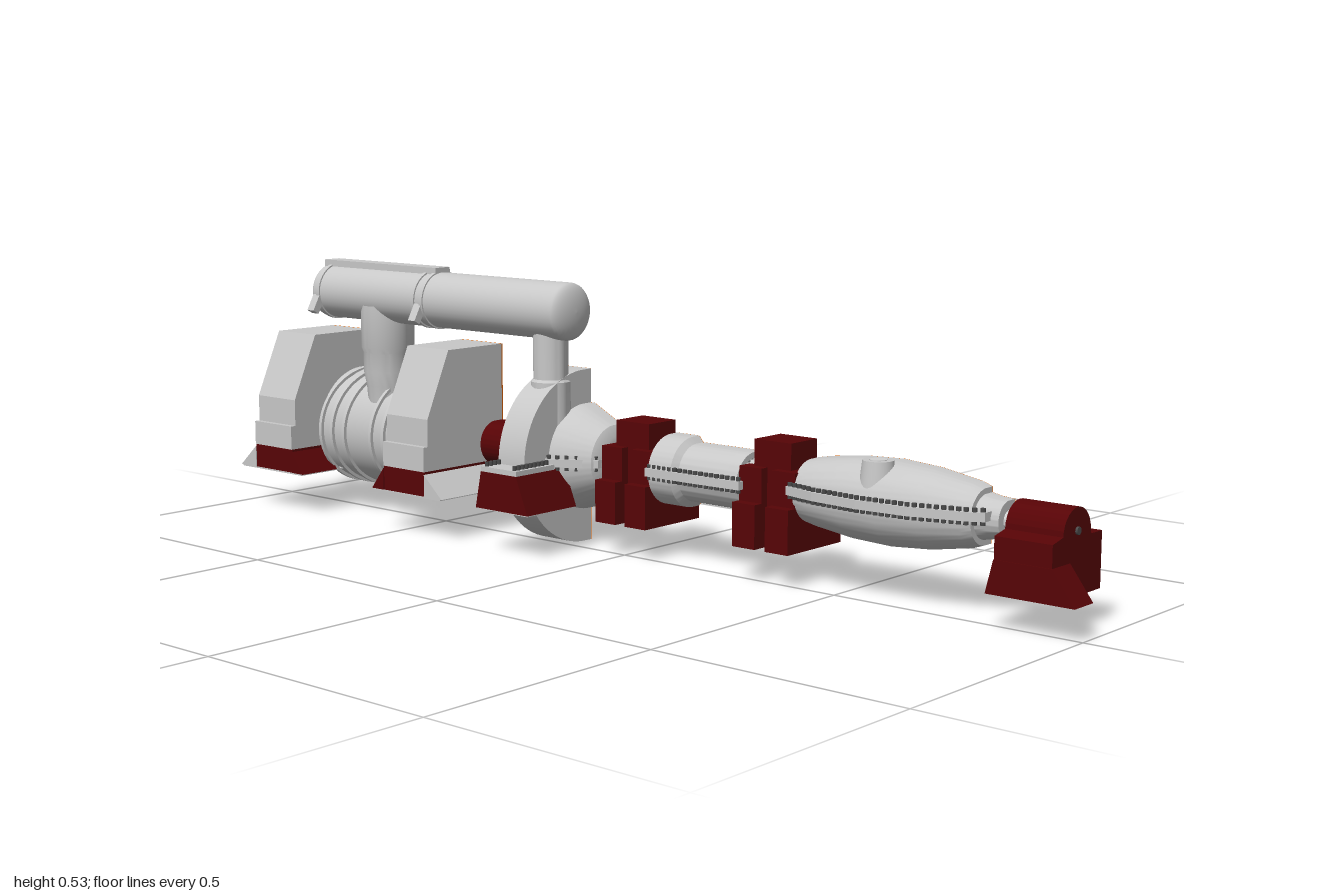
import * as THREE from 'three';
import { mergeGeometries, toCreasedNormals } from 'three/addons/utils/BufferGeometryUtils.js';

const AY = 0.177, AZ = -0.05, CUT = -0.068; // shaft axis and section plane

export function createModel() {
  const model = new THREE.Group();
  const mat = (name, color) => {
    const m = new THREE.MeshStandardMaterial({ color, side: THREE.DoubleSide });
    m.name = name;
    return m;
  };
  const grey = mat('casing grey', 0xc8c8c8);
  const red = mat('bearing red', 0x570406);
  const dark = mat('blade grey', 0x4c4c4c);
  const steel = mat('shaft steel', 0xd2d2d2);
  const orange = mat('section orange', 0xe06404);

  const add = (name, geo, material, parent = model) => {
    const mesh = new THREE.Mesh(geo, material);
    mesh.name = name;
    parent.add(mesh);
    return mesh;
  };
  const group = (name) => {
    const g = new THREE.Group();
    g.name = name;
    model.add(g);
    return g;
  };
  const boxGeo = (x0, x1, y0, y1, z0, z1) => new THREE.BoxGeometry(x1 - x0, y1 - y0, z1 - z0)
    .translate((x0 + x1) / 2, (y0 + y1) / 2, (z0 + z1) / 2);
  const shapeOf = (pts) => new THREE.Shape(pts.map(([a, b]) => new THREE.Vector2(a, b)));
  // (z, y) outline extruded along x
  const prism = (x0, x1, pts) => new THREE.ExtrudeGeometry(shapeOf(pts), { depth: x1 - x0, bevelEnabled: false })
    .rotateY(-Math.PI / 2).translate(x1, 0, 0);
  // (x, y) outline extruded along z
  const slab = (z0, z1, pts) => new THREE.ExtrudeGeometry(shapeOf(pts), { depth: z1 - z0, bevelEnabled: false })
    .translate(0, 0, z0);
  // (x, radius) profile turned about the shaft axis
  const turned = (pts, start = 0, sweep = Math.PI * 2, segs = 40) => new THREE.LatheGeometry(
    pts.map(([x, r]) => new THREE.Vector2(r, x)), segs, start, sweep).rotateZ(-Math.PI / 2);

  // Half casing: closed wall profile swept through 180 degrees, reaching back to the section plane
  const casing = (name, outer, bore, material = grey) => {
    const g = group(name);
    const inner = (Array.isArray(bore) ? [...bore] : outer.map(([x, r]) => [x, r - bore])).reverse();
    const geo = turned([...outer, ...inner, outer[0]], -Math.PI / 2, Math.PI);
    const p = geo.attributes.position;
    for (let i = 0; i < p.count; i++) if (Math.abs(p.getZ(i)) < 1e-6) p.setZ(i, CUT - AZ);
    geo.translate(0, AY, AZ);
    add('shell', toCreasedNormals(geo, 0.5), material, g);
    for (const s of [1, -1]) {
      const face = new THREE.ShapeGeometry(shapeOf([...outer, ...inner].map(([x, r]) => [x, AY + s * r])));
      add('cutFace', face.translate(0, 0, CUT - 0.001), orange, g);
    }
    return g;
  };
  // Horizontal joint flange with bolts that follows a casing outline
  const flange = (parent, pts, y, bolts) => {
    const out = [[pts[0][0], AZ], ...pts.map(([x, r]) => [x, AZ + r]), [pts.at(-1)[0], AZ]];
    add('jointFlange', new THREE.ExtrudeGeometry(shapeOf(out), { depth: 0.016, bevelEnabled: false })
      .rotateX(Math.PI / 2).translate(0, y, 0), grey, parent);
    const parts = [], x0 = pts[0][0], x1 = pts.at(-1)[0];
    for (let i = 0; i < bolts; i++) {
      const x = x0 + (x1 - x0) * (i + 0.5) / bolts;
      const k = pts.findIndex(([px]) => px >= x), [ax, ar] = pts[k - 1], [bx, br] = pts[k];
      const r = ar + (br - ar) * (x - ax) / (bx - ax) - 0.007;
      parts.push(new THREE.CylinderGeometry(0.0045, 0.0045, 0.03, 6).translate(x, y - 0.008, AZ + r));
    }
    add('jointBolts', mergeGeometries(parts), dark, parent);
  };
  // Rotor blade rows: [x, root radius, tip radius]
  const blades = (name, rows, count, width) => {
    const parts = [];
    for (const [x, r0, r1] of rows) {
      for (let i = 0; i < count; i++) parts.push(new THREE.BoxGeometry(width, r1 - r0, 0.0055)
        .rotateY(0.35).translate(x, (r0 + r1) / 2, 0).rotateX(i / count * Math.PI * 2));
      parts.push(new THREE.CylinderGeometry(r0 + 0.002, r0 + 0.002, width * 1.3, 32).rotateZ(Math.PI / 2).translate(x, 0, 0));
    }
    add(name, mergeGeometries(parts).translate(0, AY, AZ), dark);
  };
  const rows = (x0, x1, n, root, tip) => Array.from({ length: n }, (_, i) => {
    const x = x0 + (x1 - x0) * i / (n - 1);
    return [x, root, tip(x)];
  });

  // Shaft
  add('shaft', toCreasedNormals(turned([[-1, 0], [-1, 0.02], [-0.93, 0.02], [-0.88, 0.028], [-0.8, 0.045], [-0.54, 0.045],
    [-0.47, 0.03], [-0.4, 0.021], [-0.32, 0.021], [-0.3, 0.03], [-0.06, 0.03], [-0.05, 0.018], [0.06, 0.018],
    [0.07, 0.026], [0.29, 0.026], [0.3, 0.018], [0.42, 0.018], [0.44, 0.027], [0.78, 0.027], [0.8, 0.018],
    [0.95, 0.016], [0.95, 0]]).translate(0, AY, AZ), 0.5), steel);

  // Blade rows
  const stages = [[0.115, 0.06, 0.118], [0.08, 0.07, 0.105], [0.042, 0.065, 0.094]];
  const lpRows = [1, -1].flatMap((s) => stages.map(([d, a, b]) => [-0.67 + s * d, a, b]));
  blades('lowPressureBlades', lpRows, 44, 0.008);
  add('lowPressureDrum', new THREE.CylinderGeometry(0.058, 0.058, 0.23, 36).rotateZ(Math.PI / 2).translate(-0.67, AY, AZ), dark);
  blades('middleBlades', rows(-0.29, -0.08, 9, 0.036, (x) => 0.066 - Math.abs(x + 0.185) * 0.17), 30, 0.009);
  blades('firstHighPressureBlades', rows(0.09, 0.28, 9, 0.03, () => 0.045), 26, 0.009);
  const barrelTip = (x) => 0.05 - Math.abs(x - 0.6) * 0.07;
  blades('secondHighPressureBlades', [...rows(0.455, 0.56, 6, 0.028, barrelTip), ...rows(0.64, 0.76, 6, 0.028, barrelTip)], 26, 0.008);

  // Low pressure casing with ribs
  const lp = casing('lowPressureCasing', [[-0.81, 0.123], [-0.52, 0.123]], 0.011);
  for (const [x] of lpRows) {
    add('rib', toCreasedNormals(turned([[x - 0.004, 0.12], [x - 0.004, 0.126], [x + 0.004, 0.126], [x + 0.004, 0.12]],
      -Math.PI / 2, Math.PI).scale(1, 1, 1.16).translate(0, AY, AZ), 0.5), grey, lp);
  }

  // Exhaust hoods, one on each side of the low pressure casing
  const hood = [[CUT, 0.14], [CUT, 0.38], [0.083, 0.38], [0.143, 0.245], [0.143, 0.14]];
  for (const [x0, x1, s] of [[-0.93, -0.81, -1], [-0.52, -0.4, 1]]) {
    const g = group('exhaustHood');
    add('hoodBody', prism(x0, x1, hood), grey, g);
    add('hoodCutFace', boxGeo(x0, x1, 0.09, 0.38, CUT - 0.003, CUT), orange, g);
    add('hoodBase', boxGeo(x0, x1, 0.09, 0.14, CUT, 0.153), red, g);
    add('hoodLedge', boxGeo(x0, x1, 0.14, 0.19, 0.1, 0.155), grey, g);
    const xo = s < 0 ? x0 : x1, xi = s < 0 ? x1 : x0;
    add('outerSkirt', slab(CUT, 0.155, [[xo, 0.135], [xo + s * 0.05, 0.09], [xo, 0.09]]), grey, g);
    add('skirtCutFace', slab(CUT - 0.003, CUT, [[xo, 0.135], [xo + s * 0.05, 0.09], [xo, 0.09]]), orange, g);
    add('innerSkirt', slab(0.06, 0.155, [[xi, 0.135], [xi - s * 0.035, 0.09], [xi, 0.09]]), red, g);
    add('basePlate', boxGeo(x0 - (s < 0 ? 0.045 : 0.03), x1 + (s < 0 ? 0.03 : 0.045), 0.087, 0.09, CUT, 0.154), grey, g);
  }
  add('floorPlate', boxGeo(-0.94, -0.82, 0.09, 0.1, -0.137, CUT), grey);

  // Outer pedestal at the low pressure end
  const wedge = [[-0.935, 0.063], [-0.998, 0.063], [-0.94, 0.13], [-0.935, 0.13]];
  add('outerPedestal', prism(-0.97, -0.94, [[-0.137, 0.09], [-0.137, 0.15], [-0.085, 0.2], [-0.015, 0.2], [0.01, 0.15], [0.01, 0.09]]), red);
  add('pedestalStep', slab(-0.137, -0.03, wedge), red);
  add('pedestalWedge', slab(-0.03, 0.027, wedge), grey);

  // Shaft coupling cover
  casing('couplingCover', [[-0.4, 0.045], [-0.325, 0.045]], 0.016, red);

  // Middle casing with deep annular inlet
  const ip = casing('middleCasing', [[-0.31, 0.06], [-0.3, 0.075], [-0.225, 0.105], [-0.22, 0.105], [-0.22, 0.173],
    [-0.15, 0.173], [-0.15, 0.105], [-0.14, 0.105], [-0.07, 0.07], [-0.06, 0.05]],
  [[-0.31, 0.045], [-0.295, 0.058], [-0.225, 0.086], [-0.208, 0.086], [-0.208, 0.161], [-0.162, 0.161],
    [-0.162, 0.086], [-0.14, 0.086], [-0.075, 0.054], [-0.06, 0.036]]);
  flange(ip, [[-0.31, 0.068], [-0.23, 0.115], [-0.14, 0.115], [-0.06, 0.06]], 0.185, 16);
  const foot = group('middleFoot');
  add('footBlock', slab(0.03, 0.167, [[-0.24, 0.092], [-0.1, 0.092], [-0.13, 0.165], [-0.225, 0.165]]), red, foot);
  add('footSole', boxGeo(-0.235, -0.105, 0.089, 0.092, 0.035, 0.162), grey, foot);
  add('footPlate', boxGeo(-0.225, -0.13, 0.165, 0.175, 0.06, 0.166), grey, foot);
  for (let i = 0; i < 9; i++) for (const x of [-0.215, -0.14]) {
    add('footBolt', new THREE.CylinderGeometry(0.004, 0.004, 0.02, 6).translate(x, 0.174, 0.072 + i * 0.011), dark, foot);
  }

  // Crossover pipe with domed ends
  const pipes = group('crossoverPipe');
  const pz = 0.01;
  const upright = (name, x, pts) => add(name, toCreasedNormals(new THREE.LatheGeometry(
    pts.map(([r, y]) => new THREE.Vector2(r, y)), 36).translate(x, 0, pz), 0.5), grey, pipes);
  const dome = Array.from({ length: 9 }, (_, i) => [0.057 * Math.sin(i * Math.PI / 16), 0.022 * Math.cos(i * Math.PI / 16)]);
  const pipeLine = [...dome.map(([r, d]) => [r, -0.83 - d]), ...dome.map(([r, d]) => [r, -0.137 + d]).reverse()];
  add('mainPipe', new THREE.LatheGeometry(pipeLine.map(([r, x]) => new THREE.Vector2(r, x)), 40)
    .rotateZ(-Math.PI / 2).translate(0, 0.47, pz), grey, pipes);
  for (const x of [-0.815, -0.52, -0.495]) {
    add('pipeBand', new THREE.CylinderGeometry(0.06, 0.06, 0.009, 40).rotateZ(Math.PI / 2).translate(x, 0.47, pz), grey, pipes);
  }
  add('topStrip', boxGeo(-0.835, -0.49, 0.515, 0.537, -0.01, 0.03), grey, pipes);
  for (const x of [-0.82, -0.505]) {
    add('pipeLug', new THREE.BoxGeometry(0.02, 0.038, 0.016).rotateX(-0.5).translate(x, 0.445, pz + 0.06), grey, pipes);
    add('pipeStud', new THREE.BoxGeometry(0.02, 0.012, 0.014).rotateX(0.5).translate(x, 0.445, pz - 0.054), grey, pipes);
  }
  upright('lowPressureRiser', -0.66, [[0.042, 0.23], [0.046, 0.28], [0.052, 0.31], [0.052, 0.35], [0.056, 0.36], [0.056, 0.45]]);
  upright('middleRiser', -0.185, [[0.04, 0.2], [0.04, 0.33], [0.035, 0.335], [0.035, 0.45]]);

  // Bearing blocks between casings
  for (const x of [0.01, 0.35]) {
    const g = group('bearingBlock');
    for (const s of [1, -1]) {
      const a = x + s * 0.012, b = x + s * 0.064;
      add('bearingSide', boxGeo(Math.min(a, b), Math.max(a, b), 0.067, 0.15, -0.137, 0.025), red, g);
      add('bearingShoulder', boxGeo(Math.min(a, b), Math.max(a, b), 0.15, 0.215, -0.095, 0.005), red, g);
    }
    add('bearingCap', boxGeo(x - 0.042, x + 0.042, 0.1, 0.265, -0.09, -0.012), red, g);
  }

  // First high pressure casing
  const h1 = casing('firstHighPressureCasing', [[0.07, 0.05], [0.075, 0.05], [0.075, 0.068], [0.13, 0.068], [0.14, 0.056],
    [0.28, 0.056], [0.28, 0.045], [0.295, 0.045]], 0.013);
  flange(h1, [[0.07, 0.072], [0.18, 0.072], [0.295, 0.068]], 0.187, 18);

  // Second high pressure casing, barrel shaped
  const barrel = [[0.41, 0.058], [0.44, 0.064], [0.52, 0.074], [0.6, 0.077], [0.68, 0.071], [0.76, 0.057], [0.78, 0.05],
    [0.78, 0.04], [0.8, 0.036], [0.825, 0.034]];
  const h2 = casing('secondHighPressureCasing', barrel, 0.018);
  flange(h2, [[0.41, 0.078], [0.48, 0.095], [0.58, 0.104], [0.68, 0.097], [0.78, 0.068], [0.81, 0.052]], 0.195, 32);
  add('inletNozzle', new THREE.CylinderGeometry(0.028, 0.034, 0.05, 28).translate(0.58, 0.232, -0.015), grey, h2);
  add('inletBore', new THREE.CylinderGeometry(0.016, 0.016, 0.004, 24).translate(0.58, 0.256, -0.015), steel, h2);

  // End bearing with rounded top
  const end = group('endBearing');
  const arch = [[-0.133, 0.065], [-0.133, 0.165], [-0.097, 0.165]];
  for (let i = 0; i <= 14; i++) {
    const t = Math.PI * (1 - i / 14);
    arch.push([AZ - Math.cos(Math.PI - t) * 0.045, 0.172 + Math.sin(t) * 0.045]);
  }
  arch.push([0.028, 0.165], [0.028, 0.065]);
  add('endHousing', prism(0.845, 0.955, arch), red, end);
  add('endSkirt', slab(-0.03, 0.03, [[0.83, 0.065], [1, 0.065], [0.955, 0.125], [0.845, 0.125]]), red, end);
  add('endShaftCap', new THREE.CylinderGeometry(0.007, 0.007, 0.006, 16).rotateZ(Math.PI / 2).translate(0.956, AY, AZ), dark, end);
  return model;
}
